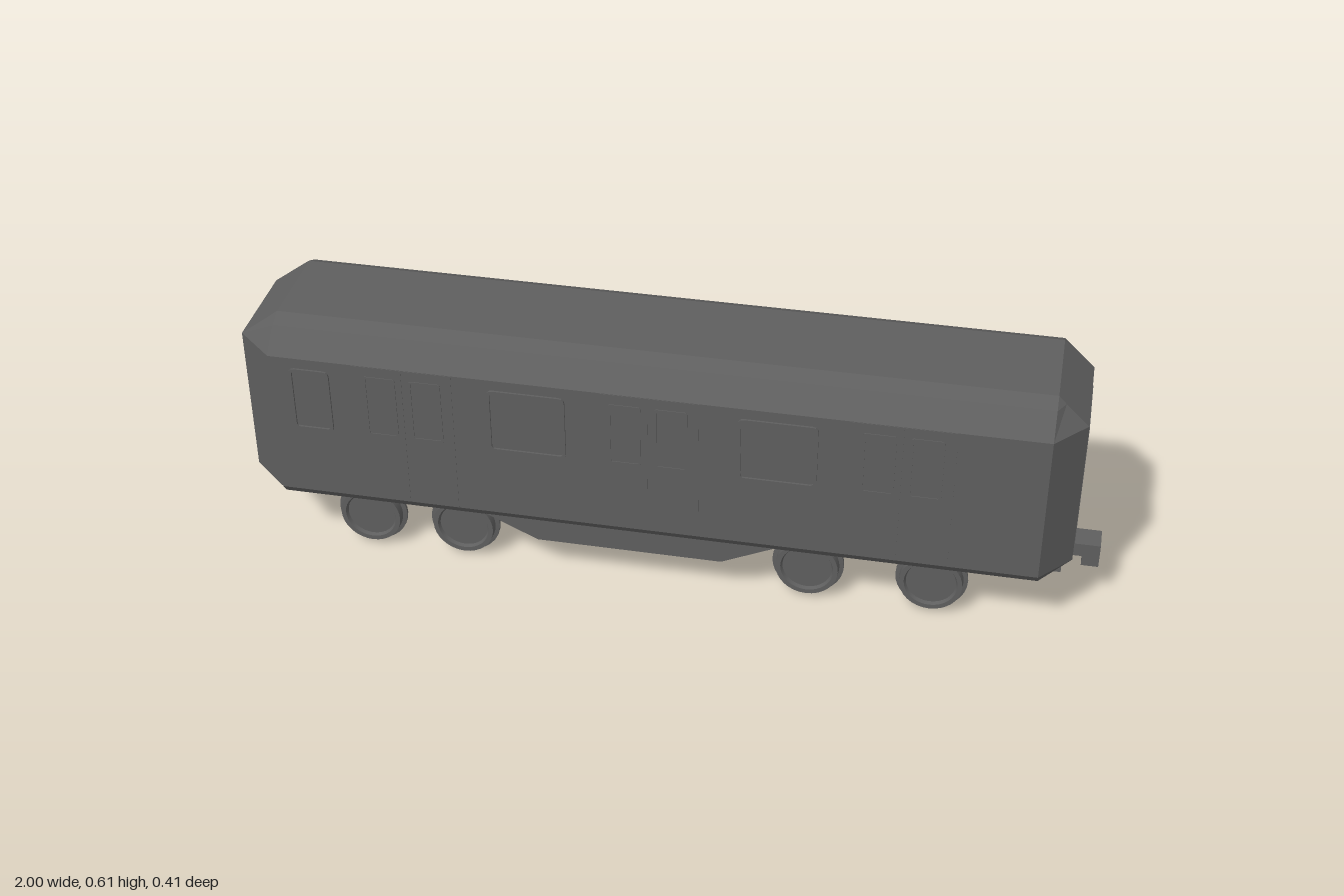
import * as THREE from 'three';

const grey = new THREE.MeshStandardMaterial({ color: 0x5e5e5e });
grey.name = 'dark grey';

function part(group, name, geometry, x = 0, y = 0, z = 0) {
  const mesh = new THREE.Mesh(geometry, grey);
  mesh.name = name;
  mesh.position.set(x, y, z);
  group.add(mesh);
  return mesh;
}

// Eight-cornered ring with clipped corners at one height
function ring(y, xL, xR, z, zc) {
  const a = -0.91, b = 0.865;
  return [[xR, zc], [xR, -zc], [b, -z], [a, -z], [xL, -zc], [xL, zc], [a, z], [b, z]]
    .map(([px, pz]) => [px, y, pz]);
}

// Faceted skin through a stack of rings, closed at both ends
function loft(rings) {
  const pos = [];
  const tri = (...pts) => pts.forEach(p => pos.push(...p));
  const n = rings[0].length, top = rings[rings.length - 1], bottom = rings[0];
  for (let r = 0; r < rings.length - 1; r++) {
    const a = rings[r], b = rings[r + 1];
    for (let i = 0; i < n; i++) {
      const j = (i + 1) % n;
      tri(a[i], a[j], b[j]);
      tri(a[i], b[j], b[i]);
    }
  }
  for (let i = 1; i < n - 1; i++) {
    tri(top[0], top[i], top[i + 1]);
    tri(bottom[0], bottom[i + 1], bottom[i]);
  }
  const g = new THREE.BufferGeometry();
  g.setAttribute('position', new THREE.Float32BufferAttribute(pos, 3));
  g.computeVertexNormals();
  return g;
}

function roundedRect(path, w, h, r) {
  const x = w / 2, y = h / 2;
  path.moveTo(-x + r, -y);
  path.lineTo(x - r, -y);
  path.quadraticCurveTo(x, -y, x, -y + r);
  path.lineTo(x, y - r);
  path.quadraticCurveTo(x, y, x - r, y);
  path.lineTo(-x + r, y);
  path.quadraticCurveTo(-x, y, -x, y - r);
  path.lineTo(-x, -y + r);
  path.quadraticCurveTo(-x, -y, -x + r, -y);
  return path;
}

// Thin raised border around an opening
function frame(w, h, r, border, depth) {
  const s = roundedRect(new THREE.Shape(), w, h, r);
  s.holes.push(roundedRect(new THREE.Path(), w - 2 * border, h - 2 * border, r * 0.6));
  return new THREE.ExtrudeGeometry(s, { depth, bevelEnabled: false, curveSegments: 3 });
}

function polygon(points, depth) {
  const s = new THREE.Shape(points.map(p => new THREE.Vector2(...p)));
  return new THREE.ExtrudeGeometry(s, { depth, bevelEnabled: false });
}

export function createModel() {
  const model = new THREE.Group();
  model.name = 'railway carriage';

  // Body shell with clipped corners and sloping roof
  part(model, 'body', loft([
    ring(0.155, -0.975, 0.915, 0.183, 0.112),
    ring(0.177, -1, 0.937, 0.199, 0.118),
    ring(0.546, -1, 0.937, 0.199, 0.118)
  ]));
  part(model, 'roof', loft([
    ring(0.546, -1, 0.937, 0.199, 0.118),
    ring(0.597, -0.932, 0.883, 0.148, 0.116),
    ring(0.614, -0.91, 0.865, 0.113, 0.113)
  ]));

  // Doors and windows, the same on both sides
  for (const side of [1, -1]) {
    const wall = new THREE.Group();
    wall.name = side > 0 ? 'frontWallDetails' : 'backWallDetails';
    for (const x of [-0.595, -0.027, 0.545]) {
      for (const s of [-1, 1]) {
        part(wall, 'doorLeaf', new THREE.BoxGeometry(0.115, 0.366, 0.002), x + s * 0.0585, 0.362, side * 0.199);
        const f = part(wall, 'doorWindowFrame', frame(0.074, 0.16, 0.006, 0.005, 0.002), x + s * 0.053, 0.44, side * 0.2);
        if (side < 0) f.rotation.y = Math.PI;
      }
    }
    for (const [x, w] of [[-0.815, 0.095], [-0.307, 0.18], [0.267, 0.18]]) {
      const f = part(wall, 'windowFrame', frame(w, 0.165, 0.014, 0.007, 0.005), x, 0.438, side * 0.199);
      if (side < 0) f.rotation.y = Math.PI;
    }
    model.add(wall);
  }

  // End doors
  for (const [x, turn] of [[0.936, 1], [-0.999, -1]]) {
    const f = part(model, 'endDoorFrame', frame(0.174, 0.316, 0.002, 0.005, 0.003), x, 0.36, 0);
    f.rotation.y = turn * Math.PI / 2;
  }

  // Central underframe beam running the full length
  const beam = part(model, 'underframe', polygon([
    [-0.1, 0.123], [-0.03, 0.117], [0.03, 0.117], [0.1, 0.123], [0.1, 0.157], [-0.1, 0.157]
  ], 1.76), -0.845, 0, 0);
  beam.rotation.y = Math.PI / 2;

  // Tapered side skirts
  for (const z of [0.152, -0.184]) {
    part(model, 'sideSkirt', polygon([
      [-0.42, 0.157], [-0.297, 0.099], [0.14, 0.099], [0.265, 0.157]
    ], 0.032), 0, 0, z);
  }

  // Coupler with hooked end
  const coupler = polygon([
    [0.84, 0.122], [0.96, 0.122], [0.96, 0.096], [1, 0.096], [1, 0.156], [0.84, 0.156]
  ], 0.06);
  part(model, 'coupler', coupler, 0, 0, -0.03);

  // Flanged wheels with a dished outer face
  const profile = [
    [0, 0], [0.084, 0], [0.084, 0], [0.084, 0.007], [0.084, 0.007], [0.074, 0.009],
    [0.074, 0.009], [0.073, 0.03], [0.073, 0.03], [0.062, 0.03], [0.062, 0.03],
    [0.058, 0.022], [0.058, 0.022], [0, 0.022]
  ].map(p => new THREE.Vector2(...p));
  const wheel = new THREE.LatheGeometry(profile, 32);
  for (const x of [-0.717, -0.488, 0.337, 0.625]) {
    for (const s of [1, -1]) {
      const w = part(model, 'wheel', wheel, x, 0.084, s * 0.122);
      w.rotation.x = s * Math.PI / 2;
    }
  }
  return model;
}
